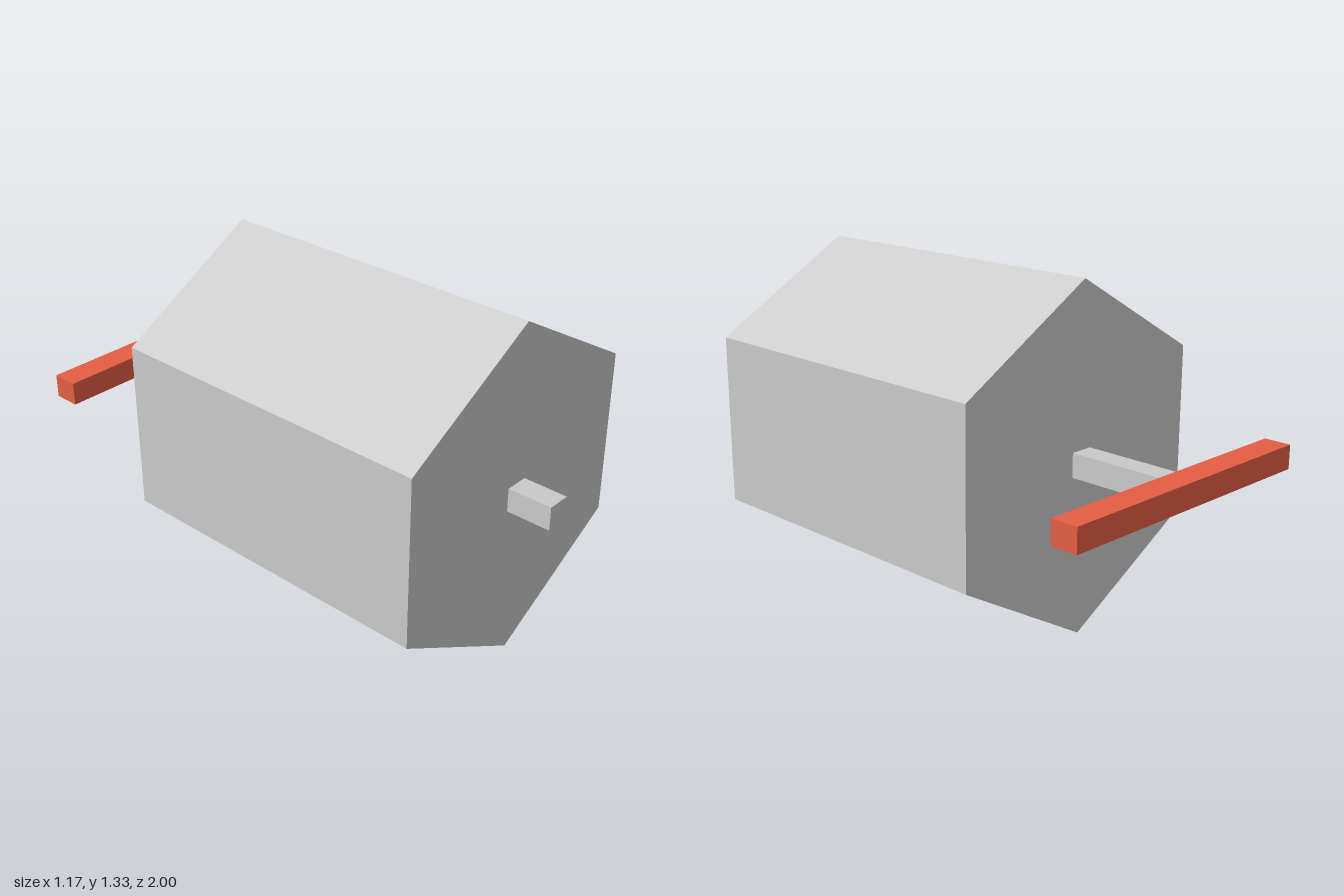
import * as THREE from 'three';

export function createModel() {
  const group = new THREE.Group();
  const grey = new THREE.MeshStandardMaterial({ color: 0xcccccc, flatShading: true });
  const red = new THREE.MeshStandardMaterial({ color: 0xe75e44, flatShading: true });
  const axisY = 0.667;

  function add(name, geometry, material, z) {
    const mesh = new THREE.Mesh(geometry, material);
    mesh.name = name;
    mesh.position.set(0, axisY, z);
    group.add(mesh);
  }

  // Hexagonal drum lying along z, with a corner up and a corner down
  const drum = new THREE.CylinderGeometry(0.667, 0.667, 1.333, 6).rotateX(Math.PI / 2);
  add('drum', drum, grey, 0.157);

  // Square axle running through the drum to the crossbar
  add('axle', new THREE.BoxGeometry(0.093, 0.093, 1.893), grey, 0.0535);

  // Crossbar at the back end of the axle
  add('crossbar', new THREE.BoxGeometry(1.166, 0.093, 0.107), red, -0.9465);

  return group;
}
